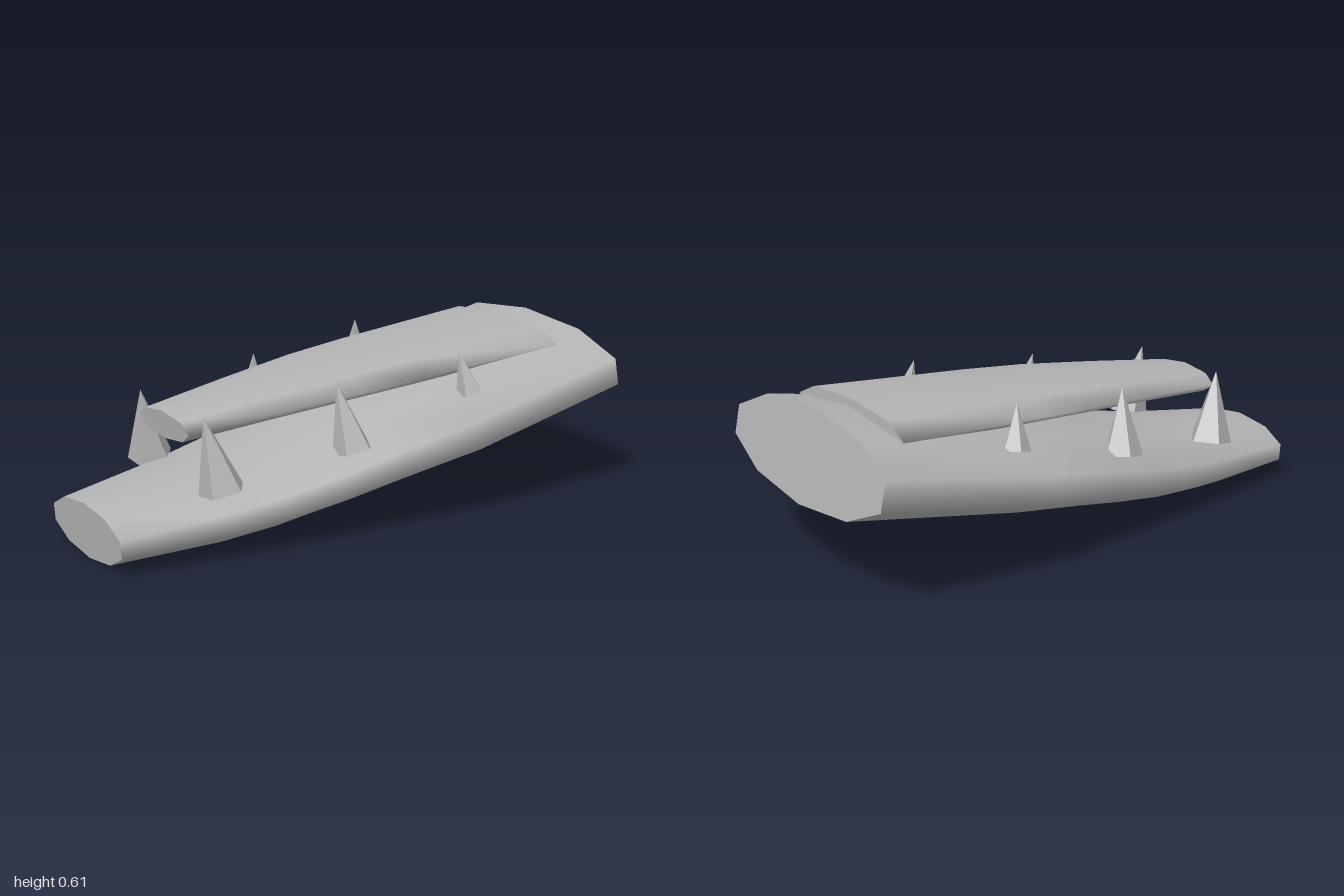
import * as THREE from 'three';

const stone = new THREE.MeshStandardMaterial({ color: 0xb3b3b3 });
stone.name = 'plain grey';

// Smooth-sided loft through tilted elliptical rings [z, y, rx, ry, slope], front to back, with flat end caps.
function loft(name, rings, sides) {
  const pos = [];
  const index = [];
  const point = ([z, y, rx, ry, slope], j) => {
    const a = Math.PI / 2 + (j / sides) * Math.PI * 2;
    const tilt = Math.atan(slope);
    const up = ry * Math.sin(a);
    return [rx * Math.cos(a), y + up * Math.cos(tilt), z + up * Math.sin(tilt)];
  };
  rings.forEach((ring) => {
    for (let j = 0; j < sides; j++) pos.push(...point(ring, j));
  });
  for (let i = 0; i < rings.length - 1; i++) {
    for (let j = 0; j < sides; j++) {
      const a = i * sides + j;
      const b = i * sides + ((j + 1) % sides);
      index.push(a, a + sides, b, b, a + sides, b + sides);
    }
  }
  // End caps use their own vertices so their edges stay sharp
  [[rings[0], false], [rings[rings.length - 1], true]].forEach(([ring, back]) => {
    const start = pos.length / 3;
    for (let j = 0; j < sides; j++) pos.push(...point(ring, j));
    for (let j = 1; j < sides - 1; j++) {
      if (back) index.push(start, start + j + 1, start + j);
      else index.push(start, start + j, start + j + 1);
    }
  });
  const geometry = new THREE.BufferGeometry();
  geometry.setAttribute('position', new THREE.Float32BufferAttribute(pos, 3));
  geometry.setIndex(index);
  geometry.computeVertexNormals();
  const mesh = new THREE.Mesh(geometry, stone);
  mesh.name = name;
  return mesh;
}

// Five-sided spike from base centre to tip
function spike(name, base, tip, radius) {
  const from = new THREE.Vector3(...base);
  const axis = new THREE.Vector3(...tip).sub(from);
  const height = axis.length();
  const cone = new THREE.ConeGeometry(radius, height, 5, 1, false, Math.PI);
  cone.translate(0, height / 2, 0);
  const flat = cone.toNonIndexed();
  flat.computeVertexNormals();
  const mesh = new THREE.Mesh(flat, stone);
  mesh.name = name;
  mesh.position.copy(from);
  mesh.quaternion.setFromUnitVectors(new THREE.Vector3(0, 1, 0), axis.normalize());
  return mesh;
}

export function createModel() {
  const model = new THREE.Group();
  model.name = 'spikedBody';

  // Broad ten-sided body, curving upward to the back
  model.add(loft('body', [
    [0.993, 0.101, 0.249, 0.0985, 0.07],
    [0.6, 0.132, 0.325, 0.125, 0.12],
    [0.4, 0.16, 0.363, 0.136, 0.18],
    [0.2, 0.201, 0.402, 0.143, 0.22],
    [0, 0.249, 0.44, 0.151, 0.22],
    [-0.3, 0.317, 0.498, 0.163, 0.21],
    [-0.965, 0.451, 0.498, 0.166, 0.21],
  ], 10));

  // Slim eight-sided cover lying above the body
  model.add(loft('topCover', [
    [0.69, 0.416, 0.166, 0.049, 0.1],
    [0.35, 0.455, 0.224, 0.055, 0.11],
    [0.05, 0.486, 0.272, 0.06, 0.09],
    [-0.2, 0.506, 0.295, 0.063, 0.08],
    [-0.795, 0.55, 0.33, 0.065, 0.07],
  ], 8));

  // Three mirrored pairs of spikes
  const spikes = [
    ['front', [0.24, 0.23, 0.61], [0.21, 0.487, 0.66], 0.082],
    ['middle', [0.31, 0.3, 0.125], [0.26, 0.535, 0.16], 0.073],
    ['rear', [0.343, 0.433, -0.365], [0.31, 0.588, -0.337], 0.05],
  ];
  for (const [name, [bx, by, bz], [tx, ty, tz], radius] of spikes) {
    for (const [side, s] of [['Left', 1], ['Right', -1]]) {
      model.add(spike(`${name}${side}Spike`, [s * bx, by, bz], [s * tx, ty, tz], radius));
    }
  }
  return model;
}
